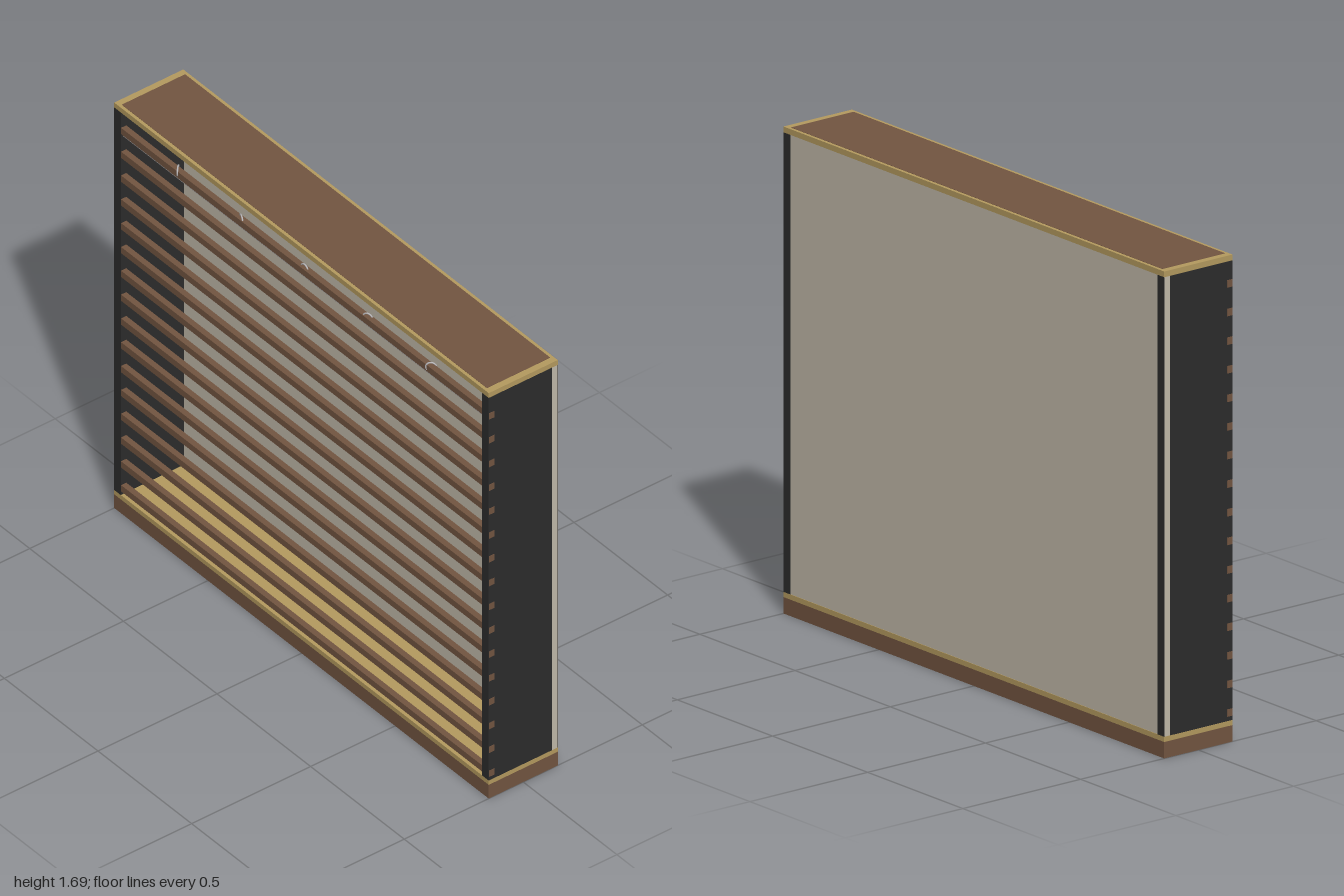
import * as THREE from 'three';

const colour = (name, hex) => {
  const m = new THREE.MeshStandardMaterial({ color: hex });
  m.name = name;
  return m;
};

export function createModel() {
  const group = new THREE.Group();
  group.name = 'slattedCabinet';

  const brown = colour('walnut brown', 0x735541);
  const tan = colour('tan trim', 0xb59b5f);
  const dark = colour('charcoal', 0x2c2c2c);
  const cream = colour('pale backing', 0xc2baaa);
  const silver = colour('silver', 0xb8b6b8);

  // Box given by its lower and upper limits on each axis
  const box = (name, mat, [x0, x1], [y0, y1], [z0, z1]) => {
    const mesh = new THREE.Mesh(new THREE.BoxGeometry(x1 - x0, y1 - y0, z1 - z0), mat);
    mesh.position.set((x0 + x1) / 2, (y0 + y1) / 2, (z0 + z1) / 2);
    mesh.name = name;
    group.add(mesh);
    return mesh;
  };

  const D = 0.145; // half depth
  const baseTop = 0.075, wallTop = 1.67, top = 1.69;

  // Plinth with the tan floor above it
  box('plinth', brown, [-1, 1], [0, 0.057], [-D, D]);
  box('floorTrim', tan, [-1, 1], [0.057, baseTop], [-D, D]);

  // Lid: tan rim with an inset brown panel
  box('lidTrim', tan, [-1, 1], [wallTop, top], [-D, D]);
  box('lidPanel', brown, [-0.975, 0.975], [top - 0.005, top + 0.001], [-0.133, 0.133]);

  // Back panel
  box('backPanel', cream, [-1, 1], [baseTop, wallTop], [-0.143, -0.12]);

  // Side walls and the thin edge strips behind them
  for (const s of [-1, 1]) {
    const x = s < 0 ? [-1, -0.965] : [0.965, 1];
    box('sideWall', dark, x, [baseTop, wallTop], [-0.12, D]);
    box('backEdgeStrip', dark, x, [baseTop, wallTop], [-D, -0.143]);
  }

  // Horizontal slats, with their ends showing through the side walls
  for (let i = 0; i < 16; i++) {
    const y = 0.103 + i * 0.0993;
    box('slat', brown, [-1.001, 1.001], [y - 0.013, y + 0.013], [0.122, 0.144]);
  }

  // Hanging rail and its rings
  const rail = new THREE.Mesh(new THREE.CylinderGeometry(0.005, 0.005, 1.94, 10), silver);
  rail.rotation.z = Math.PI / 2;
  rail.position.set(0, 1.57, 0.132);
  rail.name = 'hangingRail';
  group.add(rail);

  const ringGeometry = new THREE.TorusGeometry(0.018, 0.003, 8, 20);
  for (let i = -2; i <= 2; i++) {
    const ring = new THREE.Mesh(ringGeometry, silver);
    ring.position.set(i * 0.338, 1.597, 0.132);
    ring.rotation.y = 0.4 * i;
    ring.name = 'railRing';
    group.add(ring);
  }

  return group;
}
